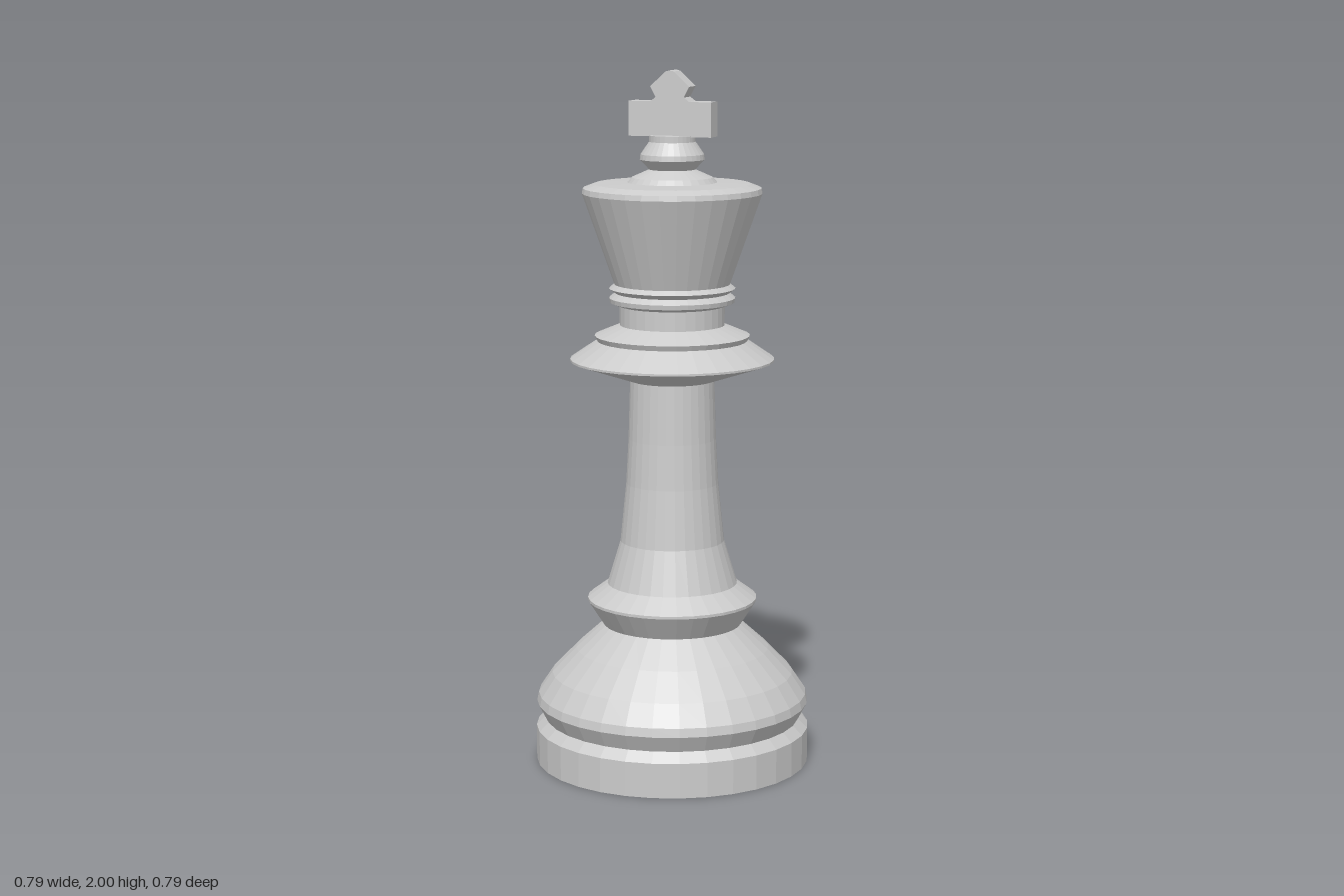
import * as THREE from 'three';

const SIDES = 32;

export function createModel() {
  const model = new THREE.Group();
  model.name = 'chessKing';
  const material = new THREE.MeshStandardMaterial({ color: 0xcccccc, flatShading: true });

  const add = (name, geometry) => {
    const mesh = new THREE.Mesh(geometry, material);
    mesh.name = name;
    model.add(mesh);
    return mesh;
  };
  // Turned part from [radius, height] pairs, bottom to top
  const turn = (name, profile) =>
    add(name, new THREE.LatheGeometry(profile.map(([r, y]) => new THREE.Vector2(r, y)), SIDES));

  // Foot with a groove above it
  turn('base', [[0, 0], [0.397, 0], [0.397, 0.1], [0.37, 0.127]]);
  turn('skirt', [[0.37, 0.127], [0.395, 0.175], [0.39, 0.2], [0.35, 0.26], [0.28, 0.333], [0.2, 0.405]]);
  turn('lowerCollar', [[0.2, 0.405], [0.245, 0.475], [0.245, 0.483], [0.188, 0.525]]);

  // Tapered column
  turn('stem', [[0.188, 0.525], [0.15, 0.65], [0.133, 0.82], [0.126, 0.95], [0.121, 1.12]]);

  // Wide disc, step, neck and ring below the head
  turn('flange', [[0.121, 1.12], [0.292, 1.177], [0.292, 1.183], [0.215, 1.235]]);
  turn('flangeStep', [[0.215, 1.235], [0.222, 1.25], [0.15, 1.28]]);
  turn('neck', [[0.15, 1.28], [0.15, 1.335]]);
  turn('neckRing', [[0.15, 1.335], [0.178, 1.345], [0.18, 1.358], [0.163, 1.372], [0.18, 1.385], [0.165, 1.397]]);

  // Flared head and the finial on top
  turn('head', [[0.165, 1.397], [0.256, 1.655], [0.253, 1.67], [0.222, 1.682], [0.127, 1.686]]);
  turn('finial', [
    [0.127, 1.686], [0.115, 1.7], [0.065, 1.722], [0.092, 1.75],
    [0.09, 1.765], [0.066, 1.8], [0.066, 1.818], [0, 1.818],
  ]);

  // Flat cross: right half outline, mirrored to the left
  const half = [[0.123, 1.815], [0.123, 1.913], [0.058, 1.913], [0.042, 1.925], [0.058, 1.955], [0.025, 1.985], [0.012, 1.997]];
  const outline = [...half, [0, 2], ...half.map(([x, y]) => [-x, y]).reverse()];
  const cross = add('cross', new THREE.ExtrudeGeometry(
    new THREE.Shape(outline.map(([x, y]) => new THREE.Vector2(x, y))),
    { depth: 0.056, bevelEnabled: false },
  ));
  cross.position.z = -0.033;

  return model;
}
